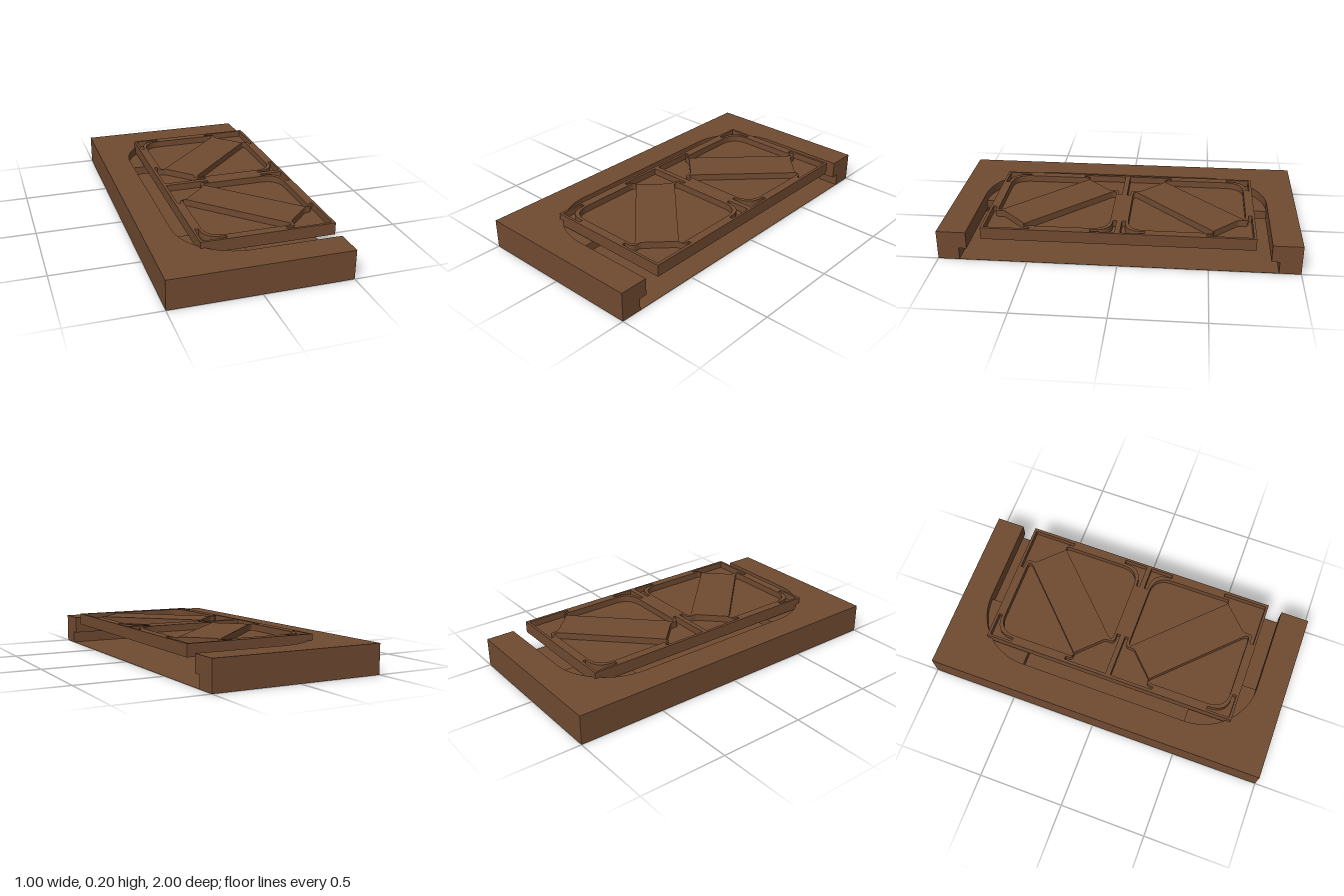
import * as THREE from 'three';
import { toCreasedNormals } from 'three/addons/utils/BufferGeometryUtils.js';

const brown = new THREE.MeshStandardMaterial({ color: 0x704a30, side: THREE.DoubleSide });

// Closed outline from [x, z, cornerCut] points; the cut rounds the corner.
function outline(points, Type = THREE.Path) {
  const path = new Type();
  const n = points.length;
  points.forEach(([x, z, cut = 0], i) => {
    const p = new THREE.Vector2(x, z);
    const towards = (q) => new THREE.Vector2(q[0], q[1]).sub(p).setLength(cut).add(p);
    const a = cut ? towards(points[(i + n - 1) % n]) : p;
    if (i === 0) path.moveTo(a.x, a.y);
    else path.lineTo(a.x, a.y);
    if (cut) {
      const b = towards(points[(i + 1) % n]);
      path.quadraticCurveTo(x, z, b.x, b.y);
    }
  });
  path.closePath();
  return path;
}

// Slab with an x-z outline, between two heights.
function slab(name, shape, bottom, top) {
  const geo = new THREE.ExtrudeGeometry(shape, { depth: top - bottom, bevelEnabled: false, curveSegments: 16 });
  geo.rotateX(Math.PI / 2).translate(0, top, 0);
  const mesh = new THREE.Mesh(toCreasedNormals(geo, 0.4), brown);
  mesh.name = name;
  return mesh;
}

// Follows the pocket edge, open on the +x side, with corners centred on (0, +-0.5).
function pocketEdge(shape, r) {
  shape.lineTo(0.5, 0.5 + r);
  shape.lineTo(0, 0.5 + r);
  shape.absarc(0, 0.5, r, Math.PI / 2, Math.PI, false);
  shape.lineTo(-r, -0.5);
  shape.absarc(0, -0.5, r, Math.PI, Math.PI * 1.5, false);
  shape.lineTo(0.5, -0.5 - r);
}

function frame(r) {
  const s = new THREE.Shape();
  s.moveTo(-0.5, -1);
  s.lineTo(-0.5, 1);
  s.lineTo(0.5, 1);
  pocketEdge(s, r);
  s.lineTo(0.5, -1);
  s.closePath();
  return s;
}

export function createModel() {
  const group = new THREE.Group();
  const UNDERCUT = 0.38, OPENING = 0.335;

  // Housing: wide undercut below, narrower opening above
  group.add(slab('lowerFrame', frame(UNDERCUT), 0, 0.07));
  group.add(slab('upperFrame', frame(OPENING), 0.07, 0.168));

  // Thin pocket floor
  const floor = new THREE.Shape();
  floor.moveTo(0.5, 0);
  pocketEdge(floor, UNDERCUT);
  floor.closePath();
  group.add(slab('pocketFloor', floor, 0, 0.001));

  // Ledges filling the two rounded corners
  for (const side of [1, -1]) {
    const s = new THREE.Shape();
    s.moveTo(0, 0.5 * side);
    s.lineTo(0, side * (0.5 + OPENING));
    s.absarc(0, 0.5 * side, OPENING, side * Math.PI / 2, side * Math.PI, side < 0);
    s.closePath();
    group.add(slab('cornerLedge', s, 0.07, 0.12));
  }

  // Cut-outs of one half panel: triangular pocket, corner slot, triangular corner recess
  const cuts = [
    [[-0.2, -0.7, 0.11], [0.29, -0.7, 0.05], [-0.2, -0.21, 0.05]],
    [[-0.237, -0.735], [-0.1, -0.735], [-0.1, -0.715], [-0.215, -0.715, 0.1], [-0.215, -0.6], [-0.237, -0.6]],
    [[0.23, -0.735], [0.483, -0.735], [0.483, -0.482], [0.465, -0.482], [0.465, -0.52, 0.025],
      [0.425, -0.52, 0.015], [0.285, -0.66, 0.015], [0.285, -0.715, 0.025], [0.23, -0.715]],
  ];

  // Sliding panel: each cut is turned about its cell centre, then mirrored across z
  const panel = outline([[-0.25, -0.75], [0.5, -0.75], [0.5, 0.75], [-0.25, 0.75]], THREE.Shape);
  for (const cut of cuts) {
    const turned = cut.map(([x, z, c]) => [0.25 - x, -0.75 - z, c]);
    for (const c of [cut, turned]) {
      panel.holes.push(outline(c), outline(c.map(([x, z, t]) => [x, -z, t])));
    }
  }
  group.add(slab('panelRibs', panel, 0.135, 0.203));

  // Web closing the panel cut-outs
  const web = new THREE.Mesh(new THREE.BoxGeometry(0.74, 0.01, 1.49), brown);
  web.name = 'panelWeb';
  web.position.set(0.125, 0.16, 0);
  group.add(web);

  return group;
}
